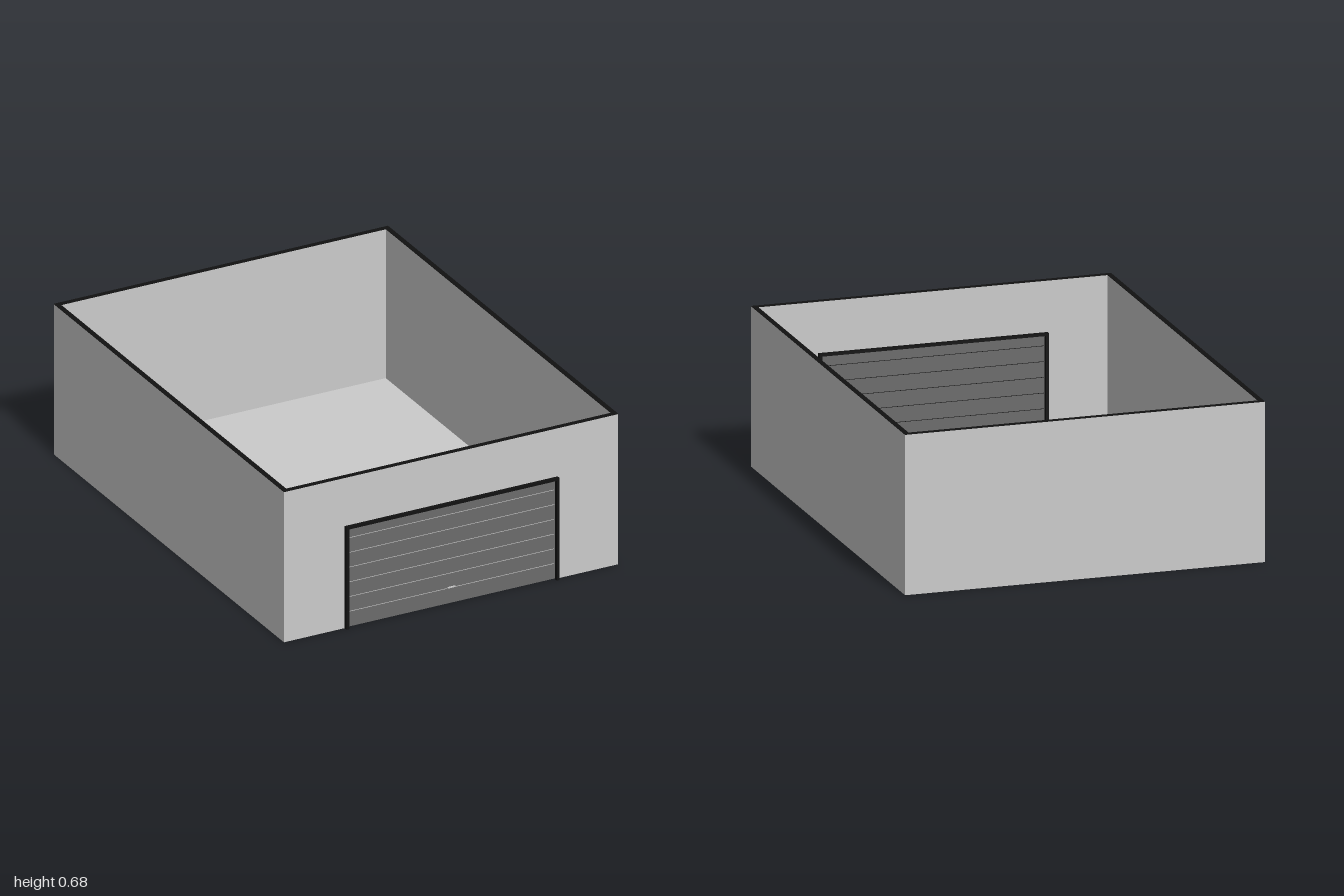
import * as THREE from 'three';

const grey = new THREE.MeshStandardMaterial({ color: 0xcccccc });
const dark = new THREE.MeshStandardMaterial({ color: 0x6c6c6c });
const black = new THREE.MeshStandardMaterial({ color: 0x111111 });

// Box given by its low and high corners
function box(name, material, [x0, y0, z0], [x1, y1, z1]) {
  const mesh = new THREE.Mesh(new THREE.BoxGeometry(x1 - x0, y1 - y0, z1 - z0), material);
  mesh.position.set((x0 + x1) / 2, (y0 + y1) / 2, (z0 + z1) / 2);
  mesh.name = name;
  return mesh;
}

export function createModel() {
  const model = new THREE.Group();
  model.name = 'garage';

  const W = 0.77, H = 0.68, T = 0.022, back = -1, front = 0.983;
  const cap = 0.002, wallTop = H - cap;
  const doorW = 0.478, doorH = 0.45;

  // Floor slab between the walls
  model.add(box('floor', grey, [-W + T, 0.002, back + T], [W - T, 0.006, front - T]));

  // Back and side walls
  model.add(box('backWall', grey, [-W, 0, back], [W, wallTop, back + T]));
  for (const [side, x] of [['right', -W], ['left', W - T]]) {
    model.add(box(side + 'Wall', grey, [x, 0, back + T], [x + T, wallTop, front - T]));
    model.add(box(side + 'WallCap', black, [x, wallTop, back + T], [x + T, H, front - T]));
  }

  // Front wall with the door opening cut out
  const outline = new THREE.Shape([
    [-W, 0], [-doorW, 0], [-doorW, doorH], [doorW, doorH],
    [doorW, 0], [W, 0], [W, wallTop], [-W, wallTop],
  ].map(([x, y]) => new THREE.Vector2(x, y)));
  const frontWall = new THREE.Mesh(
    new THREE.ExtrudeGeometry(outline, { depth: T, bevelEnabled: false }), grey);
  frontWall.position.z = front - T;
  frontWall.name = 'frontWall';
  model.add(frontWall);

  // Dark caps on the front and back walls
  model.add(box('backWallCap', black, [-W, wallTop, back], [W, H, back + T]));
  model.add(box('frontWallCap', black, [-W, wallTop, front - T], [W, H, front]));

  // Door frame, standing proud of the wall inside and out
  const frame = new THREE.Group();
  frame.name = 'doorFrame';
  const z0 = 0.942, z1 = 1, outer = 0.491, top = 0.461;
  frame.add(box('rightJamb', black, [-outer, 0, z0], [-doorW, top, z1]));
  frame.add(box('leftJamb', black, [doorW, 0, z0], [outer, top, z1]));
  frame.add(box('lintel', black, [-doorW, doorH, z0], [doorW, top, z1]));
  model.add(frame);

  // Sectional door: seven panels with pale joints on the outside
  const door = new THREE.Group();
  door.name = 'door';
  const count = 7, pitch = 0.0665, gap = 0.003, first = 0.071;
  for (let i = 0; i < count; i++) {
    const y0 = i === 0 ? 0.003 : first + (i - 1) * pitch + gap / 2;
    const y1 = i === count - 1 ? doorH : first + i * pitch - gap / 2;
    door.add(box('doorPanel', dark, [-doorW, y0, 0.961], [doorW, y1, 0.983]));
    if (i < count - 1) {
      door.add(box('panelJoint', grey, [-doorW, y1, 0.972], [doorW, y1 + gap, 0.982]));
      door.add(box('jointBacking', black, [-doorW, y1, 0.963], [doorW, y1 + gap, 0.972]));
    }
  }
  door.add(box('handle', grey, [-0.018, 0.072, 0.982], [0.018, 0.077, 0.988]));
  model.add(door);

  return model;
}
